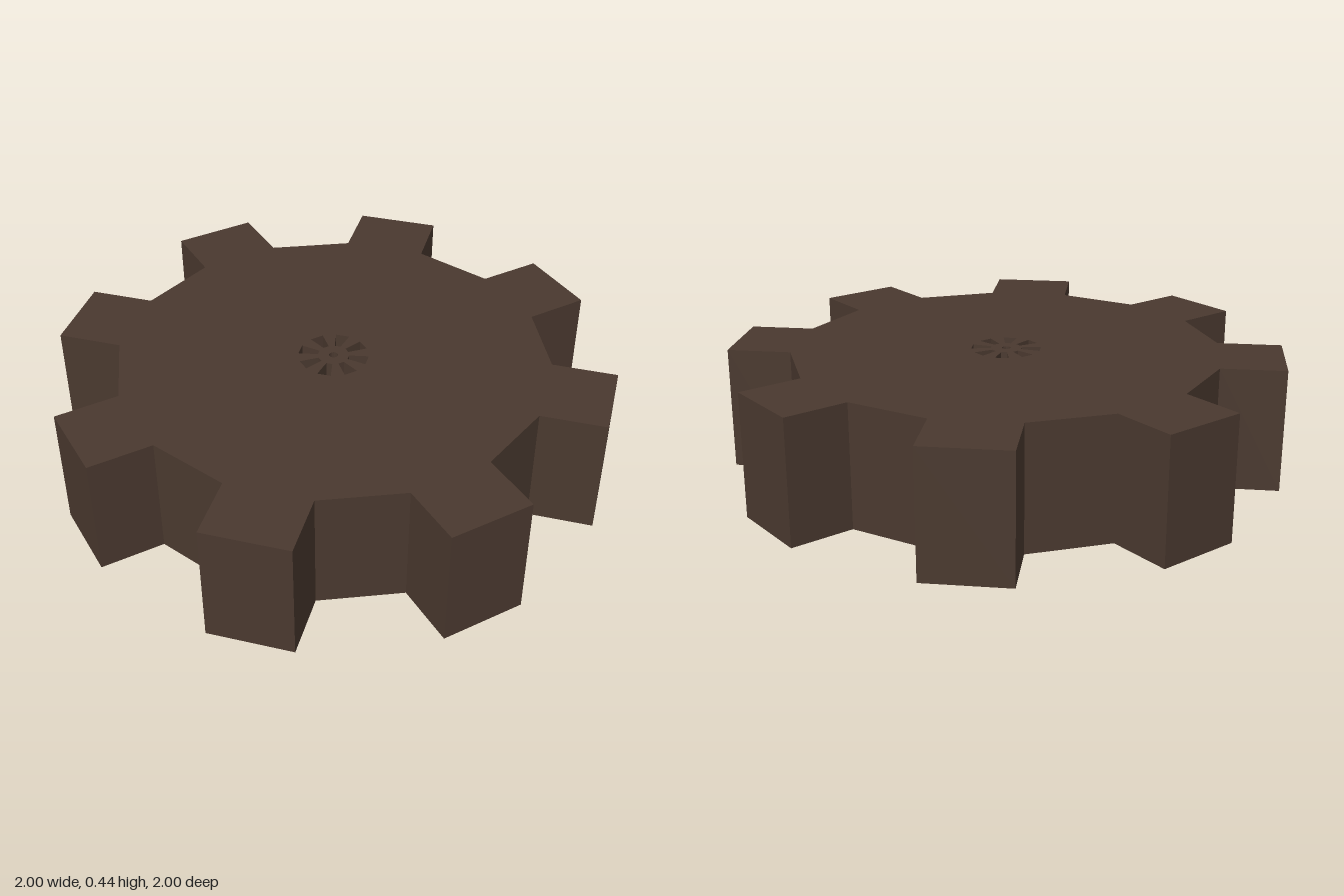
import * as THREE from 'three';

const TEETH = 8;
const STEP = Math.PI / TEETH; // one tooth or one gap
const HEIGHT = 0.445;
const ROOT_RADIUS = 0.773;
const TOOTH_LENGTH = 0.231;
const SLOT_INNER = 0.056;
const SLOT_OUTER = 0.126;
const BORE_RADIUS = 0.016;

const polar = (radius, angle) =>
  new THREE.Vector2(radius * Math.cos(angle), radius * Math.sin(angle));

export function createModel() {
  const outline = [];
  const holes = [];

  for (let i = 0; i < TEETH; i++) {
    const a = i * 2 * STEP;
    const b = a + STEP;

    // Straight-sided tooth on every other side of the 16-sided body
    const out = polar(TOOTH_LENGTH, a + STEP / 2);
    const rootA = polar(ROOT_RADIUS, a);
    const rootB = polar(ROOT_RADIUS, b);
    outline.push(rootA, rootA.clone().add(out), rootB.clone().add(out), rootB);

    // Tapered slot in the hub, in line with the tooth
    holes.push(new THREE.Path([
      polar(SLOT_INNER, a), polar(SLOT_INNER, b),
      polar(SLOT_OUTER, b), polar(SLOT_OUTER, a),
    ]));
  }

  // Faceted centre bore
  const bore = [];
  for (let i = 0; i < TEETH * 2; i++) bore.push(polar(BORE_RADIUS, -i * STEP));
  holes.push(new THREE.Path(bore));

  // Extrude the profile and lay it flat on the ground
  const shape = new THREE.Shape(outline);
  shape.holes = holes;
  const geometry = new THREE.ExtrudeGeometry(shape, { depth: HEIGHT, bevelEnabled: false });
  geometry.rotateX(Math.PI / 2);
  geometry.translate(0, HEIGHT, 0);

  const gear = new THREE.Mesh(
    geometry,
    new THREE.MeshStandardMaterial({ color: 0x4a392f, flatShading: true })
  );
  gear.name = 'gearWheel';

  const group = new THREE.Group();
  group.name = 'gear';
  group.add(gear);
  return group;
}
